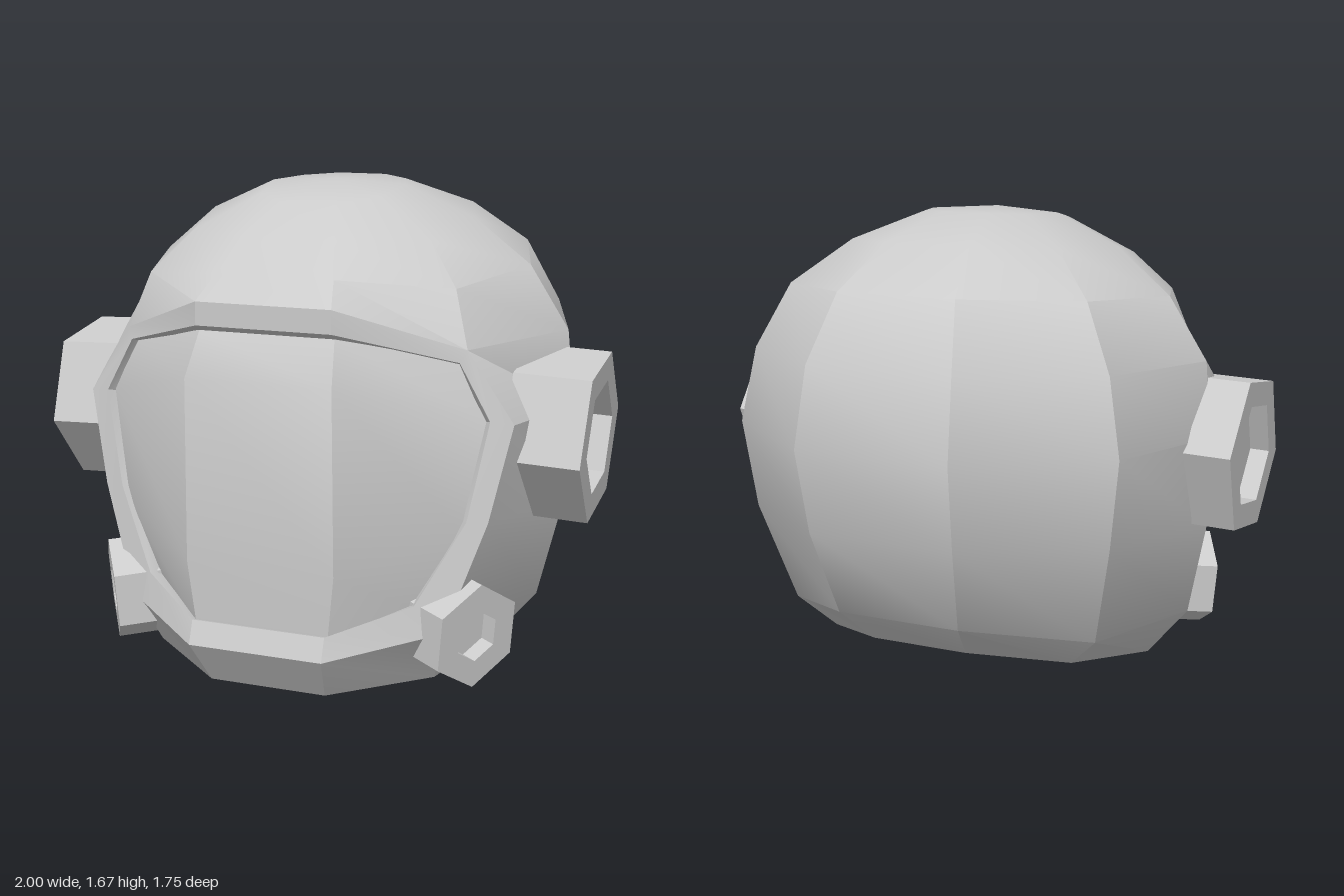
import * as THREE from 'three';
import { toCreasedNormals } from 'three/addons/utils/BufferGeometryUtils.js';

const material = new THREE.MeshStandardMaterial({ color: 0xcccccc, side: THREE.DoubleSide });
const flat = new THREE.MeshStandardMaterial({ color: 0xcccccc, flatShading: true });

const flip = ([x, y, z]) => [-x, y, z];
// completes a half row with its mirror image
const mirrorRow = (half) => [...half, ...half.map(flip).reverse()];

// joins rows of points with quads; skip(row, column) leaves a hole
function loft(name, rows, closed, crease, skip = () => false) {
  const positions = [];
  const tri = (a, b, c) => {
    if (a.join() !== b.join() && b.join() !== c.join() && c.join() !== a.join()) positions.push(...a, ...b, ...c);
  };
  for (let r = 0; r < rows.length - 1; r++) {
    const n = rows[r].length;
    for (let i = 0; i < (closed ? n : n - 1); i++) {
      if (skip(r, i)) continue;
      const j = (i + 1) % n;
      const [a, b, c, d] = [rows[r][i], rows[r][j], rows[r + 1][i], rows[r + 1][j]];
      tri(a, c, d);
      tri(a, d, b);
    }
  }
  const geometry = new THREE.BufferGeometry();
  geometry.setAttribute('position', new THREE.Float32BufferAttribute(positions, 3));
  const mesh = new THREE.Mesh(toCreasedNormals(geometry, crease), material);
  mesh.name = name;
  return mesh;
}

// hexagonal pod with a sunken middle, facing sideways from its centre
function pod(name, side, { radius, inner, depth, recess, phase, yaw, tilt, at }) {
  const profile = [[0, -depth], [radius, -depth], [radius, 0], [inner, 0], [inner, -recess], [0, -recess]];
  const geometry = new THREE.LatheGeometry(profile.map(([x, y]) => new THREE.Vector2(x, y)), 6);
  geometry.rotateY(side * phase).rotateZ(-side * Math.PI / 2);
  const mesh = new THREE.Mesh(geometry, flat);
  mesh.position.set(side * at[0], at[1], at[2]);
  mesh.rotation.set(0, -side * yaw, -side * tilt);
  mesh.name = name;
  return mesh;
}

export function createModel() {
  const model = new THREE.Group();
  model.name = 'helmet';

  // half rims of the visor opening, from top middle round to bottom middle
  const outer = [[0.24, 1.32, 0.77], [0.62, 1.17, 0.52], [0.78, 0.93, 0.51], [0.71, 0.6, 0.555], [0.58, 0.22, 0.62], [0.24, 0.16, 0.87]];
  const front = [[0.24, 1.24, 0.77], [0.6, 1.13, 0.54], [0.705, 0.94, 0.535], [0.64, 0.6, 0.57], [0.49, 0.32, 0.66], [0.24, 0.24, 0.84]];
  const back = [[0.24, 1.21, 0.72], [0.58, 1.11, 0.48], [0.675, 0.93, 0.5], [0.61, 0.6, 0.54], [0.46, 0.3, 0.6], [0.24, 0.22, 0.78]];

  // shell: ten-sided rings from crown to base, each given as front, front side, side, back side, back
  const halves = [
    Array(5).fill([0, 1.675, 0.11]),
    [[0.1, 1.61, 0.36], [0.22, 1.63, 0.26], [0.25, 1.66, 0.08], [0.2, 1.665, -0.08], [0.09, 1.67, -0.17]],
    [[0.16, 1.51, 0.54], [0.44, 1.5, 0.36], [0.5, 1.55, 0.05], [0.4, 1.57, -0.27], [0.16, 1.585, -0.46]],
    [[0.21, 1.4, 0.67], [0.56, 1.36, 0.46], [0.7, 1.39, 0.03], [0.57, 1.42, -0.42], [0.22, 1.44, -0.69]],
    [outer[0], outer[1], [0.84, 1.17, 0.03], [0.68, 1.19, -0.49], [0.27, 1.21, -0.82]],
    [outer[0], outer[2], [0.865, 0.9, 0.02], [0.73, 0.92, -0.52], [0.285, 0.93, -0.88]],
    [outer[5], outer[3], [0.85, 0.57, 0.06], [0.69, 0.6, -0.49], [0.27, 0.63, -0.82]],
    [outer[5], outer[4], [0.77, 0.22, 0.11], [0.6, 0.23, -0.38], [0.23, 0.32, -0.7]],
    [[0.21, 0, 0.76], [0.52, 0.02, 0.52], [0.62, 0.04, 0.11], [0.48, 0.11, -0.3], [0.18, 0.18, -0.54]],
    Array(5).fill([0, 0.07, 0.1]),
  ];
  const opening = (r, i) => r >= 4 && r <= 6 && (i === 0 || i >= 8);
  model.add(loft('shell', halves.map(mirrorRow), true, 0.5, opening));

  // raised frame around the visor
  model.add(loft('visorFrame', [outer, front, back].map(mirrorRow), true, 0.5));

  // faceted visor, three panels wide
  const visorRows = [
    [[0.6, 1.13, 0.5], [0.24, 1.22, 0.74]],
    [[0.69, 0.94, 0.51], [0.26, 1.07, 0.82]],
    [[0.63, 0.55, 0.55], [0.265, 0.44, 0.82]],
    [[0.48, 0.29, 0.6], [0.24, 0.22, 0.81]],
  ];
  model.add(loft('visor', visorRows.map(([edge, mid]) => [flip(edge), flip(mid), mid, edge]), false, 0.5));

  // ear pods and angled cheek pods on both sides
  for (const side of [1, -1]) {
    const label = side > 0 ? 'left' : 'right';
    model.add(pod(label + 'EarPod', side, {
      radius: 0.3, inner: 0.2, depth: 0.27, recess: 0.07, phase: 0.15, yaw: 0, tilt: 0.035, at: [0.988, 0.825, 0.15],
    }));
    model.add(pod(label + 'CheekPod', side, {
      radius: 0.185, inner: 0.09, depth: 0.27, recess: 0.06, phase: -0.55, yaw: 0.57, tilt: 0.08, at: [0.685, 0.21, 0.575],
    }));
  }
  return model;
}
